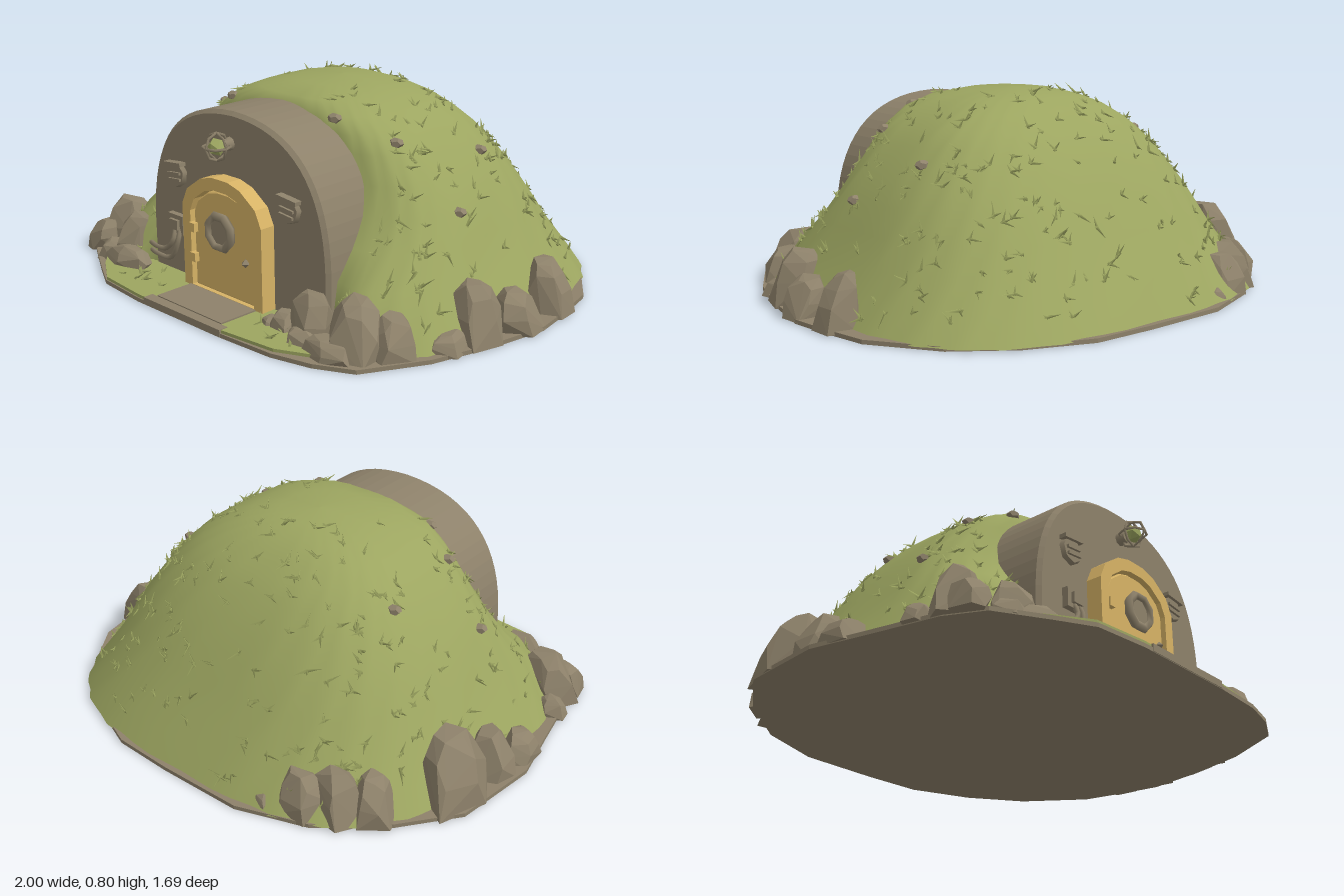
import * as THREE from 'three';
import { mergeGeometries } from 'three/addons/utils/BufferGeometryUtils.js';
import { ConvexGeometry } from 'three/addons/geometries/ConvexGeometry.js';

const mat = (name, color) => Object.assign(new THREE.MeshStandardMaterial({ color }), { name });

function seeded(seed) {
  return () => {
    seed = (seed * 16807) % 2147483647;
    return seed / 2147483647;
  };
}

// Mound levels: height, half width, back depth, front depth
const LEVELS = [
  [0.01, 0.91, 0.835, 0.56], [0.1, 0.85, 0.775, 0.56], [0.2, 0.785, 0.705, 0.55], [0.3, 0.73, 0.64, 0.475],
  [0.4, 0.67, 0.575, 0.405], [0.5, 0.605, 0.505, 0.365], [0.6, 0.52, 0.425, 0.35], [0.66, 0.455, 0.36, 0.345],
  [0.715, 0.37, 0.29, 0.335], [0.755, 0.275, 0.22, 0.3], [0.782, 0.16, 0.14, 0.19], [0.79, 0.0, 0.0, 0.0],
];

// Point on the mound: u runs around, v from base to crown, rounder near the crown
function moundPoint(u, v) {
  const f = v * (LEVELS.length - 1), i = Math.min(Math.floor(f), LEVELS.length - 2);
  const [y, w, back, front] = LEVELS[i].map((a, k) => THREE.MathUtils.lerp(a, LEVELS[i + 1][k], f - i));
  const a = u * Math.PI * 2, c = Math.cos(a), s = Math.sin(a);
  const e = 2 / THREE.MathUtils.lerp(s > 0 ? 3.9 : 2.8, 2.1, THREE.MathUtils.smoothstep(v, 0.72, 0.95));
  const x = w * Math.sign(c) * Math.abs(c) ** e, z = Math.sign(s) * Math.abs(s) ** e * (s > 0 ? front : back);
  // Low banks spread forward on either side of the entrance
  const bank = z > 0 ? 0.16 * (z / front) ** 2 * THREE.MathUtils.smoothstep(Math.abs(x), 0.48, 0.62) * Math.max(0, 1 - y / 0.3) : 0;
  return new THREE.Vector3(x, y, z + bank);
}

function moundGeometry() {
  const cols = 72, rows = LEVELS.length - 1, pos = [], idx = [];
  for (let j = 0; j <= rows; j++)
    for (let i = 0; i < cols; i++) {
      const p = moundPoint(i / cols, j / rows);
      const k = 1 + 0.006 * Math.sin(i * 2.3 + j * 1.7);
      pos.push(p.x * k, p.y, p.z * k);
    }
  for (let j = 0; j < rows; j++)
    for (let i = 0; i < cols; i++) {
      const a = j * cols + i, b = j * cols + (i + 1) % cols;
      idx.push(a, a + cols, b, b, a + cols, b + cols);
    }
  const g = new THREE.BufferGeometry();
  g.setAttribute('position', new THREE.Float32BufferAttribute(pos, 3));
  g.setIndex(idx);
  g.computeVertexNormals();
  return g;
}

const toShape = (pts) => new THREE.Shape(pts.map(([x, y]) => new THREE.Vector2(x, y)));

// Flat slab from a plan outline given as x, z
function slab(pts, y0, y1) {
  const g = new THREE.ExtrudeGeometry(toShape(pts.map(([x, z]) => [x, -z])), { depth: y1 - y0, bevelEnabled: false });
  return g.rotateX(-Math.PI / 2).translate(0, y0, 0);
}

// Upright plate from a front outline, with an optional bevel
function plate(shape, z0, z1, bevel = 0) {
  const g = new THREE.ExtrudeGeometry(shape, {
    depth: z1 - z0 - bevel, bevelEnabled: bevel > 0, bevelSize: bevel, bevelOffset: -bevel,
    bevelThickness: bevel, bevelSegments: 1, curveSegments: 16 });
  return g.translate(0, 0, z0);
}

// Blocky stone with a broad foot and a chipped top that leans against the mound
function rockGeometry(rand, x, z, rx, rz, h) {
  const pts = [], turn = rand() * 6;
  for (const [level, r] of [[0, 1], [0.45, 1], [0.8, 0.82], [1, 0.5]])
    for (let i = 0; i < 5; i++) {
      const a = turn + (i + rand() * 0.5) * Math.PI * 0.4, k = r * (0.95 + rand() * 0.2);
      const y = 0.004 + level * h * (0.88 + rand() * 0.14), lean = 1 - 0.25 * y;
      pts.push(new THREE.Vector3(
        THREE.MathUtils.clamp((x + Math.cos(a) * k * rx) * lean, -1, 1), y, (z + Math.sin(a) * k * rz) * lean));
    }
  return new ConvexGeometry(pts);
}

export function createModel() {
  const grass = mat('grass green', 0x9ca560);
  const stone = mat('stone brown', 0x8d816a);
  const wood = mat('door yellow', 0xd6b265);
  const model = new THREE.Group();
  const rand = seeded(4711);
  const add = (name, geo, m, parent = model) => {
    const mesh = new THREE.Mesh(geo, m);
    mesh.name = name;
    parent.add(mesh);
    return mesh;
  };

  // Ground, front lawn and path
  add('groundSlab', slab([[-0.3, -0.845], [0.05, -0.85], [0.3, -0.84], [0.55, -0.74], [0.76, -0.59], [0.93, -0.35], [0.97, -0.15],
    [0.99, 0], [0.94, 0.25], [0.87, 0.48], [0.74, 0.71], [0.6, 0.78], [0.44, 0.82], [0.2, 0.835], [-0.27, 0.84], [-0.5, 0.82],
    [-0.63, 0.75], [-0.82, 0.64], [-0.89, 0.5], [-0.95, 0.22], [-1, 0], [-0.96, -0.35], [-0.8, -0.56], [-0.57, -0.75]],
  0, 0.016), stone);
  add('frontLawn', slab([[-0.85, 0.3], [0.87, 0.3], [0.82, 0.45], [0.68, 0.62], [0.58, 0.74], [0.44, 0.805], [0.2, 0.83],
    [-0.27, 0.835], [-0.5, 0.815], [-0.63, 0.73], [-0.8, 0.58]], 0.016, 0.028), grass);
  add('path', slab([[-0.2, 0.5], [0.17, 0.5], [0.165, 0.8], [-0.2, 0.8]], 0.01, 0.034), stone);
  add('pathStep', slab([[-0.23, 0.8], [0.2, 0.8], [0.2, 0.838], [-0.23, 0.842]], 0.002, 0.03), stone);

  add('mound', moundGeometry(), grass);

  // Arched entrance wall
  const wall = new THREE.Shape();
  wall.moveTo(-0.5, 0.01);
  wall.lineTo(-0.5, 0.24);
  wall.bezierCurveTo(-0.49, 0.55, -0.34, 0.73, -0.01, 0.735);
  wall.bezierCurveTo(0.32, 0.73, 0.47, 0.55, 0.48, 0.24);
  wall.lineTo(0.48, 0.01);
  add('entranceWall', plate(wall, 0.29, 0.575, 0.015), stone);

  // Door set back inside a raised frame
  const door = new THREE.Group();
  door.name = 'door';
  door.position.x = -0.013;
  model.add(door);
  const arch = (w, top, bottom) => [[-w, bottom], [w, bottom], [w, top - w * 0.62], [w * 0.86, top - w * 0.33],
    [w * 0.5, top - w * 0.08], [w * 0.2, top], [-w * 0.2, top], [-w * 0.5, top - w * 0.08],
    [-w * 0.86, top - w * 0.33], [-w, top - w * 0.62]];
  const frame = toShape(arch(0.22, 0.49, 0.03));
  frame.holes.push(new THREE.Path(arch(0.175, 0.443, 0.035).map(([x, y]) => new THREE.Vector2(x, y))));
  add('doorFrame', plate(frame, 0.56, 0.638), wood, door);
  add('doorPanel', plate(toShape(arch(0.168, 0.436, 0.035)), 0.56, 0.625, 0.006), wood, door);
  add('doorWindowRing', new THREE.TorusGeometry(0.064, 0.018, 5, 8).rotateZ(Math.PI / 8).translate(0, 0.29, 0.643), stone, door);
  add('doorWindowPane', new THREE.CylinderGeometry(0.055, 0.055, 0.03, 8).rotateX(Math.PI / 2).translate(0, 0.29, 0.63), stone, door);
  add('doorKnob', new THREE.OctahedronGeometry(0.018).translate(0.13, 0.2, 0.635), stone, door);
  for (const y of [0.15, 0.27])
    add('doorHinge', new THREE.BoxGeometry(0.03, 0.035, 0.03).translate(-0.162, y, 0.63), wood, door);

  // Caged lantern above the door
  const lantern = new THREE.Group();
  lantern.name = 'lantern';
  lantern.position.set(-0.02, 0.615, 0.638);
  model.add(lantern);
  add('lanternGlobe', new THREE.IcosahedronGeometry(0.035, 0), grass, lantern);
  add('lanternBracket', new THREE.CylinderGeometry(0.02, 0.03, 0.05, 8).rotateX(Math.PI / 2).translate(0, 0, -0.055), stone, lantern);
  for (const [rx, ry] of [[0, 0], [Math.PI / 2, 0], [0, Math.PI / 2]])
    add('lanternCage', new THREE.TorusGeometry(0.052, 0.0055, 4, 8).rotateX(rx).rotateY(ry), stone, lantern);

  // Side wall fittings, each a hooded round vent
  for (const [x, tilt] of [[-0.33, 0.1], [0.295, -0.1]]) {
    const vent = new THREE.Group();
    vent.name = 'wallVent';
    vent.position.set(x, 0.435, 0.58);
    vent.rotation.z = tilt;
    model.add(vent);
    add('ventBody', new THREE.CylinderGeometry(0.05, 0.058, 0.025, 7).rotateX(Math.PI / 2), stone, vent);
    add('ventHood', new THREE.BoxGeometry(0.1, 0.015, 0.04).translate(0, 0.042, 0.005), stone, vent);
    for (const y of [-0.02, 0.005])
      add('ventSlat', new THREE.BoxGeometry(0.07, 0.01, 0.016).translate(0, y, 0.014), stone, vent);
  }

  // Junction box with drooping cables
  add('junctionBox', new THREE.BoxGeometry(0.09, 0.075, 0.04).translate(-0.33, 0.235, 0.58), stone);
  add('junctionBoxLid', new THREE.BoxGeometry(0.05, 0.04, 0.015).translate(-0.33, 0.235, 0.605), stone);
  for (const d of [0, 0.03]) {
    const path = new THREE.CatmullRomCurve3([[-0.34 + d, 0.23, 0.59], [-0.335 + d, 0.17, 0.61], [-0.38 + d, 0.125 - d, 0.61],
      [-0.45, 0.11 - d, 0.6], [-0.53, 0.1 - d, 0.57]].map((p) => new THREE.Vector3(...p)));
    add('cable', new THREE.TubeGeometry(path, 16, 0.01, 6), stone);
  }

  // Boulders round the foot: x, z, half width, half depth, height
  const leftRocks = [[-0.88, -0.29, 0.11, 0.14, 0.26], [-0.91, -0.08, 0.08, 0.09, 0.18], [-0.94, 0.08, 0.06, 0.09, 0.11],
    [-0.72, -0.57, 0.08, 0.08, 0.17], [-0.61, -0.64, 0.1, 0.09, 0.18], [-0.5, -0.71, 0.09, 0.075, 0.16],
    [-0.38, -0.76, 0.05, 0.05, 0.06], [-0.82, 0.5, 0.1, 0.09, 0.22], [-0.85, 0.58, 0.065, 0.07, 0.13], [-0.89, 0.39, 0.05, 0.05, 0.08],
    [-0.65, 0.58, 0.095, 0.085, 0.2], [-0.58, 0.66, 0.13, 0.055, 0.09], [-0.72, 0.63, 0.07, 0.06, 0.08]];
  const rightRocks = [[0.92, -0.16, 0.075, 0.08, 0.2], [0.93, 0.06, 0.08, 0.09, 0.15], [0.88, 0.23, 0.085, 0.1, 0.22],
    [0.86, 0.37, 0.055, 0.08, 0.07], [0.76, 0.54, 0.085, 0.08, 0.15], [0.66, 0.63, 0.1, 0.09, 0.2],
    [0.6, 0.71, 0.1, 0.055, 0.08], [0.46, 0.64, 0.085, 0.07, 0.18], [0.47, 0.7, 0.07, 0.05, 0.07],
    [0.34, 0.65, 0.06, 0.06, 0.08], [0.28, 0.67, 0.035, 0.035, 0.05]];
  const rocks = new THREE.Group();
  rocks.name = 'boulders';
  model.add(rocks);
  for (const r of [...leftRocks, ...rightRocks]) add('boulder', rockGeometry(rand, ...r), stone, rocks);

  // Pebbles half sunk in the slope
  for (const [u, v] of [[0.44, 0.6], [0.06, 0.6], [0.36, 0.7], [0.47, 0.38], [0.96, 0.5], [0.01, 0.36], [0.17, 0.72], [0.55, 0.55]]) {
    const p = moundPoint(u, v);
    add('pebble', new THREE.DodecahedronGeometry(0.025).scale(1.2, 0.8, 1).translate(p.x, p.y, p.z), stone, rocks);
  }

  // Grass tufts: low splayed blades of mixed length over mound and lawn
  const blades = [];
  const up = new THREE.Vector3(0, 1, 0);
  const tuft = (p, n) => {
    for (let k = 0; k < 3; k++) {
      const spread = new THREE.Vector3(rand() - 0.5, rand() - 0.4, rand() - 0.5).projectOnPlane(n).normalize();
      const dir = n.clone().multiplyScalar(0.15 + rand() * 0.7).add(spread).normalize();
      const len = 0.025 + rand() ** 2 * 0.045;
      const g = new THREE.ConeGeometry(0.008, len, 3).translate(0, len * 0.35, 0);
      g.applyQuaternion(new THREE.Quaternion().setFromUnitVectors(up, dir));
      blades.push(g.translate(p.x, p.y, p.z));
    }
  };
  for (let i = 0; i < 360; i++) {
    const u = rand(), v = 0.04 + 0.93 * (1 - Math.sqrt(rand())) ** 0.8;
    const p = moundPoint(u, v);
    if (p.z > 0.27 && Math.abs(p.x) < 0.5) continue;
    tuft(p, new THREE.Vector3(p.x, 0.5 * p.y + 0.2, p.z).normalize());
  }
  for (let i = 0; i < 16; i++) {
    const side = i % 2 ? 1 : -1;
    tuft(new THREE.Vector3(side * (0.24 + rand() * 0.28), 0.026, 0.62 + rand() * 0.17), up);
  }
  add('grassTufts', mergeGeometries(blades), grass);

  return model;
}
